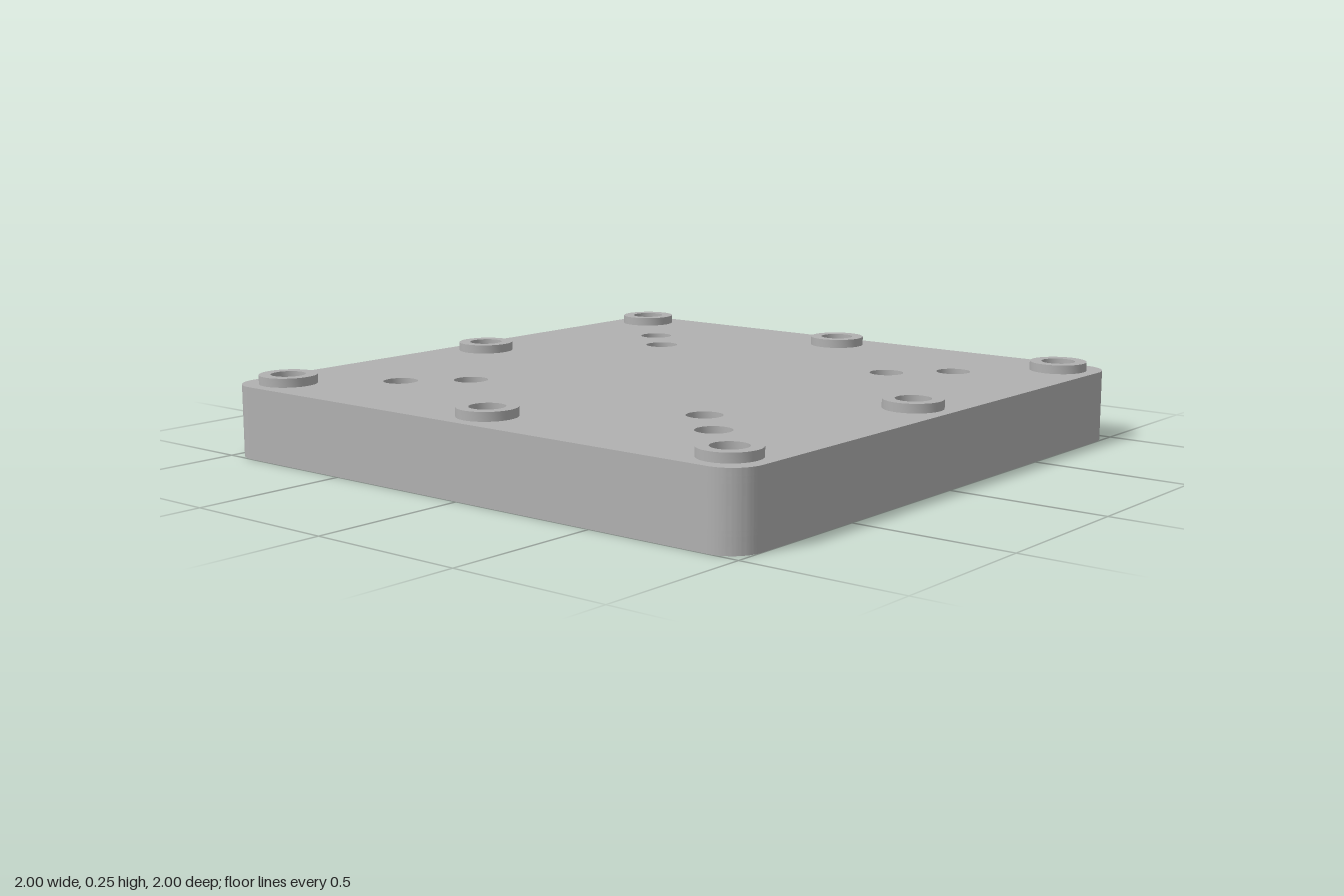
import * as THREE from 'three';
import { toCreasedNormals } from 'three/addons/utils/BufferGeometryUtils.js';

const BOSS = 0.87;      // boss centre distance from the middle
const BORE = 0.054;     // boss hole and counterbore radius
const INNER = 0.885;    // half width of the cavity

function roundedSquare(h, r, Type = THREE.Shape) {
  const s = new Type();
  s.moveTo(h, -h + r);
  [[1, 1], [-1, 1], [-1, -1], [1, -1]].forEach(([x, y], i) =>
    s.absarc(x * (h - r), y * (h - r), r, i * Math.PI / 2, (i + 1) * Math.PI / 2, false));
  s.closePath();
  return s;
}

function circle(x, y, r, Type = THREE.Path) {
  const p = new Type();
  p.absarc(x, y, r, 0, Math.PI * 2, false);
  return p;
}

// Square cavity outline with a partial bore cut into each side and corner
function groovedCavity() {
  const pts = [];
  const a = Math.acos((INNER - BOSS) / BORE);
  const arc = (cx, cy, from, to, turn) => {
    for (let i = 0; i <= 16; i++) {
      const t = from + (to - from) * i / 16;
      pts.push(new THREE.Vector2(cx + BORE * Math.cos(t), cy + BORE * Math.sin(t))
        .rotateAround(new THREE.Vector2(), turn));
    }
  };
  for (let k = 0; k < 4; k++) {
    const turn = k * Math.PI / 2;
    arc(BOSS, 0, -a, a, turn);
    arc(BOSS, BOSS, -a, Math.PI / 2 + a, turn);
  }
  return new THREE.Path(pts);
}

export function createModel() {
  const group = new THREE.Group();
  const grey = new THREE.MeshStandardMaterial({ color: 0xb0b0b0 });
  grey.name = 'grey';

  // Horizontal slab between two heights, with holes
  const slab = (name, shape, holes, y0, y1) => {
    shape.holes.push(...holes);
    const g = new THREE.ExtrudeGeometry(shape, { depth: y1 - y0, bevelEnabled: false, curveSegments: 16 });
    g.rotateX(-Math.PI / 2);
    g.translate(0, y0, 0);
    const mesh = new THREE.Mesh(toCreasedNormals(g, 0.6), grey);
    mesh.name = name;
    group.add(mesh);
  };
  const outer = () => roundedSquare(1, 0.1);

  // Hole positions
  const bosses = [];
  for (const x of [-1, 0, 1]) for (const z of [-1, 0, 1]) {
    if (x || z) bosses.push([x * BOSS, z * BOSS]);
  }
  const screws = [];
  for (const d of [0.47, 0.625]) for (const x of [-1, 1]) for (const z of [-1, 1]) {
    screws.push([x * d, z * d]);
  }
  const holes = (list, r) => list.map(([x, z]) => circle(x, z, r));

  // Skirt: rebated rim, ledge, and wall with blind bores
  slab('rim', outer(), [roundedSquare(0.925, 0.04, THREE.Path)], 0, 0.05);
  slab('ledge', outer(), [roundedSquare(INNER, 0.004, THREE.Path)], 0.05, 0.065);
  slab('wall', outer(), [groovedCavity()], 0.065, 0.187);

  // Top plate with counterbored screw holes
  slab('plateUnderside', outer(), [...holes(bosses, BORE), ...holes(screws, 0.03)], 0.187, 0.205);
  slab('plateTop', outer(), [...holes(bosses, BORE), ...holes(screws, BORE)], 0.205, 0.227);

  // Raised rings around the bores
  for (const [x, z] of bosses) {
    slab('boss', circle(x, z, 0.091, THREE.Shape), [circle(x, z, BORE)], 0.227, 0.255);
  }
  return group;
}
